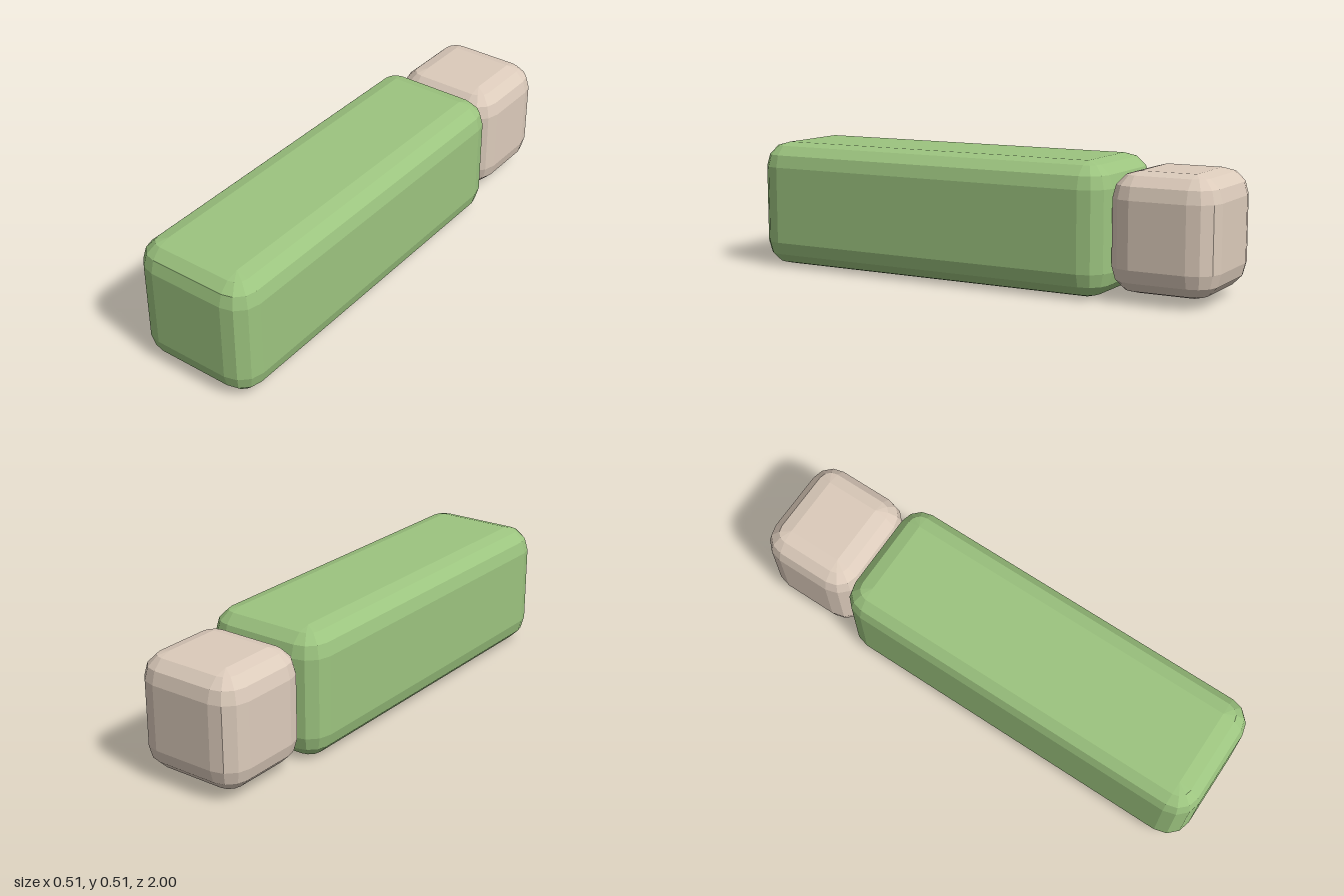
import * as THREE from 'three';
import { ConvexGeometry } from 'three/addons/geometries/ConvexGeometry.js';

// Box with faceted rounded edges: the hull of a sphere octant placed at each corner.
function bevelledBox(w, h, d, r, steps = 3) {
  const points = [];
  for (const sx of [-1, 1]) for (const sy of [-1, 1]) for (const sz of [-1, 1]) {
    for (let i = 0; i <= steps; i++) {
      const lat = (i / steps) * Math.PI / 2;
      const around = i === steps ? 0 : steps; // a single point at the pole
      for (let j = 0; j <= around; j++) {
        const lon = (j / steps) * Math.PI / 2;
        points.push(new THREE.Vector3(
          sx * (w / 2 - r + r * Math.cos(lat) * Math.cos(lon)),
          sy * (h / 2 - r + r * Math.sin(lat)),
          sz * (d / 2 - r + r * Math.cos(lat) * Math.sin(lon))
        ));
      }
    }
  }
  return new ConvexGeometry(points);
}

export function createModel() {
  const group = new THREE.Group();
  const centreY = 0.2575;

  function addBlock(name, size, zBack, zFront, color) {
    const mesh = new THREE.Mesh(
      bevelledBox(size, size, zFront - zBack, 0.1),
      new THREE.MeshStandardMaterial({ color, flatShading: true })
    );
    mesh.name = name;
    mesh.position.set(0, centreY, (zBack + zFront) / 2);
    group.add(mesh);
  }

  // Long green body, with a smaller pale block at its back end
  addBlock('body', 0.515, -0.583, 1, 0x9cc47f);
  addBlock('endBlock', 0.456, -1, -0.577, 0xdccbbb);

  return group;
}
